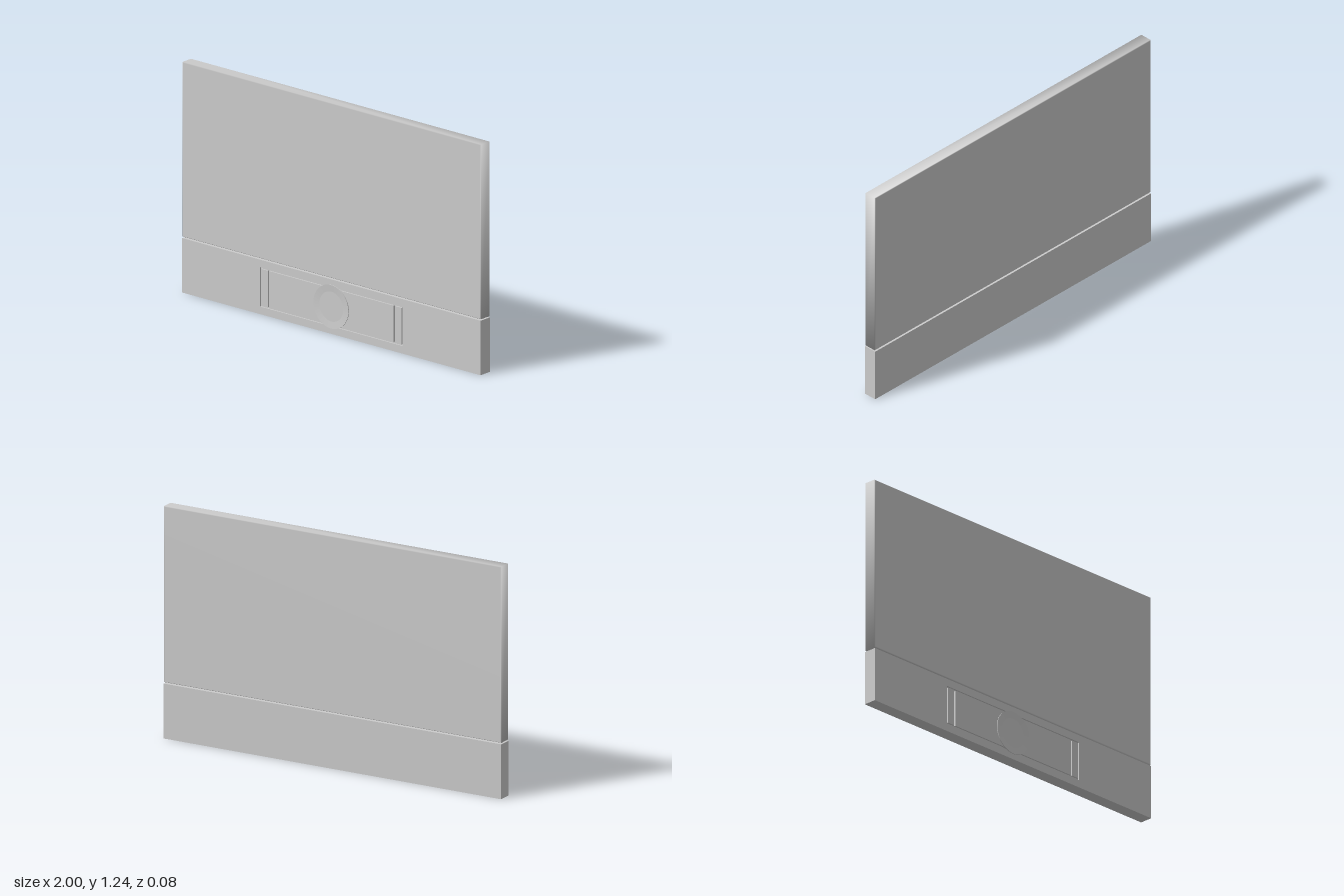
import * as THREE from 'three';
import { mergeVertices } from 'three/addons/utils/BufferGeometryUtils.js';

const BACK = -0.038, FRONT = 0.034, GROOVE = 0.008, DEPTH = 0.008;
const grey = new THREE.MeshStandardMaterial({ color: 0xcccccc });

function add(parent, name, geometry, x = 0, y = 0, z = 0) {
  const mesh = new THREE.Mesh(geometry, grey);
  mesh.name = name;
  mesh.position.set(x, y, z);
  parent.add(mesh);
  return mesh;
}

// Box given by its limits
function block(parent, name, x0, x1, y0, y1, z0, z1) {
  return add(parent, name, new THREE.BoxGeometry(x1 - x0, y1 - y0, z1 - z0),
    (x0 + x1) / 2, (y0 + y1) / 2, (z0 + z1) / 2);
}

// Rectangular outline given by its limits
function rectangle(Type, x0, x1, y0, y1) {
  return new Type([[x0, y0], [x1, y0], [x1, y1], [x0, y1]].map(p => new THREE.Vector2(...p)));
}

export function createModel() {
  const model = new THREE.Group();
  model.name = 'panelledBoard';

  // Large upper panel with a fine chamfer and softly blended normals
  const c = 0.004;
  let upper = new THREE.ExtrudeGeometry(rectangle(THREE.Shape, -1 + c, 1 - c, 0.3 + c, 1.24 - c), {
    depth: FRONT - BACK - 2 * c, bevelEnabled: true, bevelSize: c, bevelThickness: c, bevelSegments: 1,
  });
  upper.deleteAttribute('normal');
  upper.deleteAttribute('uv');
  upper = mergeVertices(upper, 1e-5);
  upper.computeVertexNormals();
  add(model, 'upperPanel', upper, 0, 0, BACK + c);

  // Lower panel: solid backing and a front skin with an opening
  const lower = new THREE.Group();
  lower.name = 'lowerPanel';
  model.add(lower);
  block(lower, 'lowerBacking', -1, 1, 0, 0.293, BACK, FRONT - DEPTH);
  const skin = rectangle(THREE.Shape, -1, 1, 0, 0.293);
  skin.holes.push(rectangle(THREE.Path, -0.479, 0.479, 0.041, 0.253));
  add(lower, 'lowerFace', new THREE.ExtrudeGeometry(skin, { depth: DEPTH, bevelEnabled: false }),
    0, 0, FRONT - DEPTH);

  // Flush inserts separated by narrow grooves
  const y0 = 0.041 + GROOVE, y1 = 0.253 - GROOVE, z0 = FRONT - DEPTH;
  block(lower, 'centreInsert', -0.418, 0.418, y0, y1, z0, FRONT);
  for (const s of [-1, 1]) {
    const a = s * (0.418 + GROOVE), b = s * (0.479 - GROOVE);
    block(lower, s > 0 ? 'leftInsert' : 'rightInsert', Math.min(a, b), Math.max(a, b), y0, y1, z0, FRONT);
  }

  // Round dish with a raised rim sloping to a flat centre; each span is its own sharp-edged lathe
  const dish = new THREE.Group();
  dish.name = 'roundDish';
  dish.position.set(0, 0.147, 0);
  dish.rotation.x = Math.PI / 2;
  model.add(dish);
  const span = (name, ...points) =>
    add(dish, name, new THREE.LatheGeometry(points.map(p => new THREE.Vector2(...p)), 64));
  span('dishWall', [0.117, FRONT - DEPTH], [0.117, 0.038]);
  span('dishRim', [0.117, 0.038], [0.08, 0.0345]);
  span('dishCentre', [0.08, 0.0345], [0, 0.0345]);

  return model;
}
